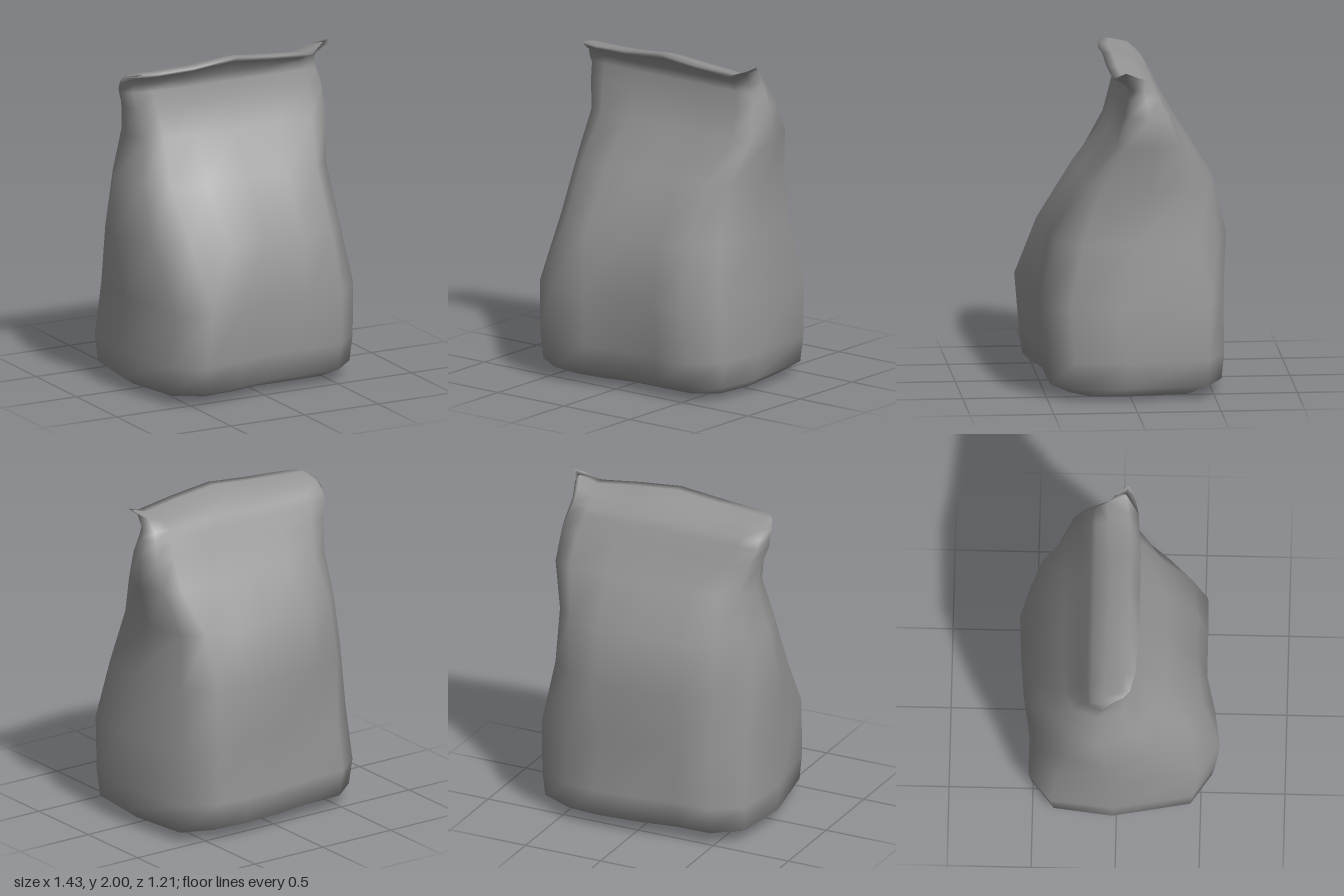
import * as THREE from 'three';

// Horizontal sections: y, xLeftEdge, xRightEdge, zFront, zBack,
// then how far each corner is rounded off: front -x, front +x, back +x, back -x
const levels = [
  [0.00, -0.45, 0.45, 0.30, -0.30, 0, 0, 0, 0],
  [0.02, -0.60, 0.62, 0.42, -0.43, 0, 0, 0, 0],
  [0.08, -0.69, 0.70, 0.555, -0.57, -0.03, 0, 0, 0],
  [0.24, -0.70, 0.715, 0.575, -0.585, -0.03, 0, 0, -0.03],
  [0.57, -0.677, 0.705, 0.60, -0.56, -0.04, 0, -0.08, 0],
  [0.94, -0.72, 0.665, 0.51, -0.595, 0.35, 0.12, 0.2, 0.38],
  [1.28, -0.68, 0.64, 0.28, -0.51, 0.36, 0.1, 0.22, 0.5],
  [1.54, -0.60, 0.71, 0.09, -0.335, 0.12, 0.05, 0.1, 0.22],
  [1.72, -0.63, 0.695, 0.035, -0.235, 0.1, 0, 0, 0.1],
  [1.82, -0.665, 0.665, 0.01, -0.18, 0.3, 0, 0, 0],
  [1.87, -0.665, 0.65, 0.01, -0.148, 0.3, 0, 0, 0],
  [1.925, -0.655, 0.655, 0.075, -0.06, 0, 0, 0, 0],
  [1.955, -0.62, 0.70, 0.125, 0.065, 0, 0, 0, 0],
];

// Plan outline, counter-clockwise from front left: lumpy base [x, z], neat top [x, z]
const plan = [
  [-0.87, 0.77, -0.94, 0.85], [-0.60, 1.00, -0.76, 1], [-0.28, 0.96, -0.4, 1], [0.04, 0.87, 0.04, 1],
  [0.42, 0.87, 0.42, 1], [0.74, 0.86, 0.78, 1], [0.96, 0.60, 0.94, 0.85], [1, 0.08, 1, 0],
  [0.92, -0.79, 0.94, -0.85], [0.62, -0.97, 0.78, -1], [0.35, -1, 0.42, -1], [0, -0.97, 0.04, -1],
  [-0.38, -0.90, -0.4, -1], [-0.70, -0.89, -0.76, -1], [-0.94, -0.65, -0.94, -0.85], [-1, -0.03, -1, 0],
];
const N = plan.length;
const corners = [[0, 1], [6, 5], [8, 9], [14, 13]];

// Height of the lip along its length
const lip = [[-1, -0.01], [-0.9, 0], [-0.6, -0.005], [0.05, 0.035], [0.78, -0.02], [0.94, 0.02], [1, 0.045]];
function lipRise(u) {
  for (let i = 1; i < lip.length; i++) {
    const [a, ya] = lip[i - 1], [b, yb] = lip[i];
    if (u <= b) return ya + (yb - ya) * (u - a) / (b - a);
  }
  return 0;
}

function bagGeometry() {
  const pos = [], index = [];
  for (const [y, xl, xr, zf, zb, ...rounding] of levels) {
    const t = THREE.MathUtils.smoothstep(y, 0.6, 1.45);
    const w = THREE.MathUtils.smoothstep(y, 1.85, 1.955);
    const mid = (zf + zb) / 2, half = (zf - zb) / 2;
    const ring = plan.map(([lx, lz, hx, hz]) => [THREE.MathUtils.lerp(lx, hx, t), THREE.MathUtils.lerp(lz, hz, t)]);
    // Pull in each corner point and its neighbour on the panel
    corners.forEach(([corner, next], k) => {
      const r = rounding[k];
      ring[corner][0] *= 1 - 0.12 * r;
      ring[corner][1] *= 1 - r;
      ring[next][0] *= 1 - 0.15 * r;
      ring[next][1] *= 1 - 0.45 * r;
    });
    for (const [u, v] of ring) {
      // The lip ends sit further back than its middle
      pos.push(u < 0 ? -u * xl : u * xr, y + w * lipRise(u), mid + v * half - w * 0.055 * u ** 4);
    }
  }
  for (let j = 0; j < levels.length - 1; j++) {
    for (let i = 0; i < N; i++) {
      const a = j * N + i, b = j * N + (i + 1) % N;
      index.push(a, b, b + N, a, b + N, a + N);
    }
  }
  // Close base and lip by joining front points to back points
  const cap = (o, up) => {
    const tri = (a, b, c) => (up ? index.push(o + a, o + b, o + c) : index.push(o + a, o + c, o + b));
    for (let i = 0; i < 6; i++) {
      tri(i, i + 1, 13 - i);
      tri(i, 13 - i, 14 - i);
    }
    tri(6, 7, 8);
    tri(14, 15, 0);
  };
  cap(0, false);
  cap((levels.length - 1) * N, true);

  const g = new THREE.BufferGeometry();
  g.setAttribute('position', new THREE.Float32BufferAttribute(pos, 3));
  g.setIndex(index);
  g.computeVertexNormals();
  return g;
}

export function createModel() {
  const group = new THREE.Group();
  group.name = 'paperBag';
  const bag = new THREE.Mesh(
    bagGeometry(),
    new THREE.MeshStandardMaterial({ color: 0x969696, side: THREE.DoubleSide })
  );
  bag.name = 'bagBody';
  group.add(bag);
  return group;
}
